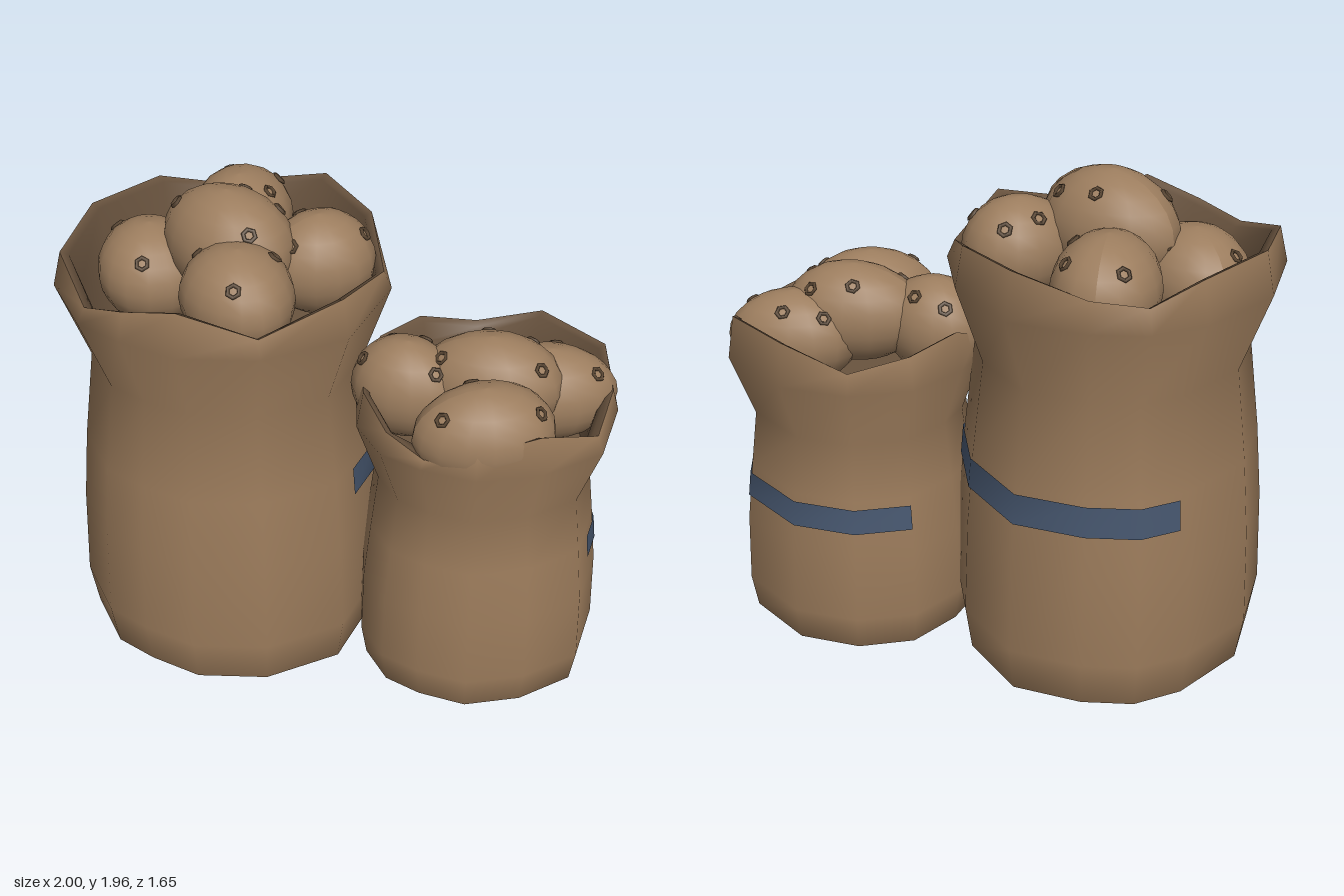
import * as THREE from 'three';

const mat = (name, color, side = THREE.FrontSide) => {
  const m = new THREE.MeshStandardMaterial({ color, side });
  m.name = name;
  return m;
};

// Closed loft through rings of equal length; smooth normals
function loft(rings) {
  const n = rings[0].length, idx = [];
  for (let j = 0; j < rings.length - 1; j++)
    for (let i = 0; i < n; i++) {
      const k = (i + 1) % n, a = j * n + i, b = j * n + k;
      idx.push(a, a + n, b, b, a + n, b + n);
    }
  return build(rings.flat(), idx);
}

// Flat fan closing a ring, facing up or down
function cap(ring, up) {
  const n = ring.length, idx = [];
  const c = new THREE.Vector3();
  ring.forEach(p => c.addScaledVector(p, 1 / n));
  for (let i = 0; i < n; i++) {
    const k = (i + 1) % n;
    idx.push(n, ...(up ? [k, i] : [i, k]));
  }
  return build([...ring, c], idx);
}

function build(points, idx) {
  const g = new THREE.BufferGeometry().setFromPoints(points);
  g.setIndex(idx);
  g.computeVertexNormals();
  return g;
}

// Rim outline: x, z, rim height at each fold
const bigSack = {
  name: 'bigSack', x: -0.37, z: 0.18,
  outline: [
    [0.63, 0, 1.73], [0.52, 0.33, 1.65], [0.3, 0.54, 1.75], [0.07, 0.61, 1.69], [-0.13, 0.64, 1.64],
    [-0.42, 0.53, 1.72], [-0.61, 0.22, 1.75], [-0.63, -0.15, 1.74], [-0.56, -0.36, 1.67],
    [-0.4, -0.51, 1.69], [-0.13, -0.64, 1.76], [0.22, -0.56, 1.74], [0.48, -0.37, 1.65]],
  // height, scale of the outline
  profile: [[0, 0.8], [0.04, 0.91], [0.22, 0.955], [0.6, 0.935], [0.9, 0.895], [1.27, 0.825], [1.58, 1]],
  floor: 1.35, band: [0.76, 0.88, 7.2, 12.6],
  // x, y, z, radii along/up/across, yaw in degrees
  potatoes: [
    [-0.37, 1.73, 0.2, 0.285, 0.225, 0.21, 5], [-0.61, 1.64, -0.07, 0.27, 0.2, 0.2, -55],
    [-0.14, 1.65, -0.05, 0.22, 0.2, 0.19, 70], [-0.13, 1.66, 0.36, 0.24, 0.2, 0.21, -20],
    [-0.65, 1.57, 0.35, 0.24, 0.2, 0.21, -20]],
};
const smallSack = {
  name: 'smallSack', x: 0.48, z: -0.325,
  outline: [
    [0.515, -0.08, 1.23], [0.45, 0.18, 1.31], [0.31, 0.385, 1.26], [0.12, 0.475, 1.19], [-0.05, 0.51, 1.25],
    [-0.24, 0.445, 1.31], [-0.42, 0.27, 1.23], [-0.49, 0.1, 1.31], [-0.51, -0.16, 1.29],
    [-0.38, -0.37, 1.24], [-0.14, -0.505, 1.33], [0.21, -0.485, 1.33], [0.37, -0.35, 1.25]],
  profile: [[0, 0.78], [0.035, 0.9], [0.17, 0.945], [0.45, 0.93], [0.68, 0.88], [0.91, 0.825], [1.16, 1]],
  floor: 1.0, band: [0.55, 0.65, 8, 12.5],
  potatoes: [
    [0.5, 1.28, -0.33, 0.28, 0.2, 0.185, 35], [0.62, 1.2, -0.54, 0.26, 0.19, 0.18, 45],
    [0.67, 1.23, -0.11, 0.27, 0.2, 0.19, 55], [0.26, 1.24, -0.13, 0.22, 0.2, 0.175, 20]],
};

function scaleAt(profile, y) {
  let i = 0;
  while (profile[i + 1][0] < y) i++;
  const [y0, s0] = profile[i], [y1, s1] = profile[i + 1];
  return s0 + (s1 - s0) * (y - y0) / (y1 - y0);
}

function makeSack(s, mats) {
  const group = new THREE.Group();
  group.name = s.name;
  const add = (name, geo, m) => {
    const mesh = new THREE.Mesh(geo, m);
    mesh.name = name;
    mesh.position.set(s.x, 0, s.z);
    group.add(mesh);
  };
  const ring = (k, y) => s.outline.map(([x, z, top]) =>
    new THREE.Vector3(x * k, y === null ? top : y, z * k));

  // Cloth outside, wavy rim on top
  const outer = s.profile.map(([y, k]) => ring(k, y));
  const rim = ring(0.95, null);
  add('sackCloth', loft([...outer, rim]), mats.cloth);
  add('sackBase', cap(outer[0], false), mats.cloth);

  // Shaded inside of the mouth
  const lip = ring(0.9, null).map(p => p.setY(p.y - 0.015));
  const inner = ring(0.76, s.floor);
  add('sackInside', loft([rim, lip, ring(0.86, s.floor + 0.2), inner]), mats.inside);
  add('sackInsideFloor', cap(inner, true), mats.inside);

  // Thin band around the back
  const [y0, y1, t0, t1] = s.band, ts = [t0];
  for (let t = Math.floor(t0) + 1; t < t1; t++) ts.push(t);
  ts.push(t1);
  const n = s.outline.length, pts = [], idx = [];
  ts.forEach((t, i) => {
    const a = s.outline[Math.floor(t) % n], b = s.outline[(Math.floor(t) + 1) % n], f = t % 1;
    for (const y of [y0, y1]) {
      const k = scaleAt(s.profile, y) + 0.012;
      pts.push(new THREE.Vector3((a[0] + (b[0] - a[0]) * f) * k, y, (a[1] + (b[1] - a[1]) * f) * k));
    }
    if (i) idx.push(2 * i - 2, 2 * i - 1, 2 * i, 2 * i, 2 * i - 1, 2 * i + 1);
  });
  add('sackBand', build(pts, idx), mats.band);

  s.potatoes.forEach((p, i) => group.add(makePotato(p, i, mats)));
  return group;
}

// Tapered ellipsoid with small ring-shaped eyes
function makePotato([x, y, z, rx, ry, rz, yaw], i, mats) {
  const group = new THREE.Group();
  group.name = 'potato';
  const flip = i % 2 ? -1 : 1;
  const shape = v => {
    const taper = 1 + 0.1 * flip * v.x;
    return v.set(v.x * rx, v.y * ry * (1 + 0.04 * flip * v.x), v.z * rz * taper);
  };
  const geo = new THREE.SphereGeometry(1, 16, 12);
  const pos = geo.attributes.position, v = new THREE.Vector3();
  for (let j = 0; j < pos.count; j++) {
    shape(v.fromBufferAttribute(pos, j));
    pos.setXYZ(j, v.x, v.y, v.z);
  }
  geo.computeVertexNormals();
  const body = new THREE.Mesh(geo, mats.potato);
  body.name = 'potatoBody';
  group.add(body);

  const eyeGeo = new THREE.TorusGeometry(0.023, 0.008, 4, 6);
  for (const d of [[0.7, 0.6, 0.4], [-0.65, 0.65, 0.4], [-0.1, 0.75, -0.65], [0.5, 0.6, -0.6]]) {
    const u = new THREE.Vector3(d[0] * flip, d[1], d[2]).normalize();
    const normal = new THREE.Vector3(u.x / rx, u.y / ry, u.z / rz).normalize();
    const eye = new THREE.Mesh(eyeGeo, mats.eye);
    eye.name = 'potatoEye';
    eye.position.copy(shape(u));
    eye.quaternion.setFromUnitVectors(new THREE.Vector3(0, 0, 1), normal);
    group.add(eye);
  }
  group.position.set(x, y, z);
  group.rotation.y = THREE.MathUtils.degToRad(yaw);
  return group;
}

export function createModel() {
  const mats = {
    cloth: mat('burlap', 0x9b7b5b),
    inside: mat('shaded burlap', 0x6a543f, THREE.DoubleSide),
    band: mat('blue band', 0x46566e, THREE.DoubleSide),
    potato: mat('potato skin', 0x9c7d5e),
    eye: mat('potato eye', 0x5e4a36),
  };
  const model = new THREE.Group();
  model.name = 'potatoSacks';
  model.add(makeSack(bigSack, mats), makeSack(smallSack, mats));
  return model;
}
